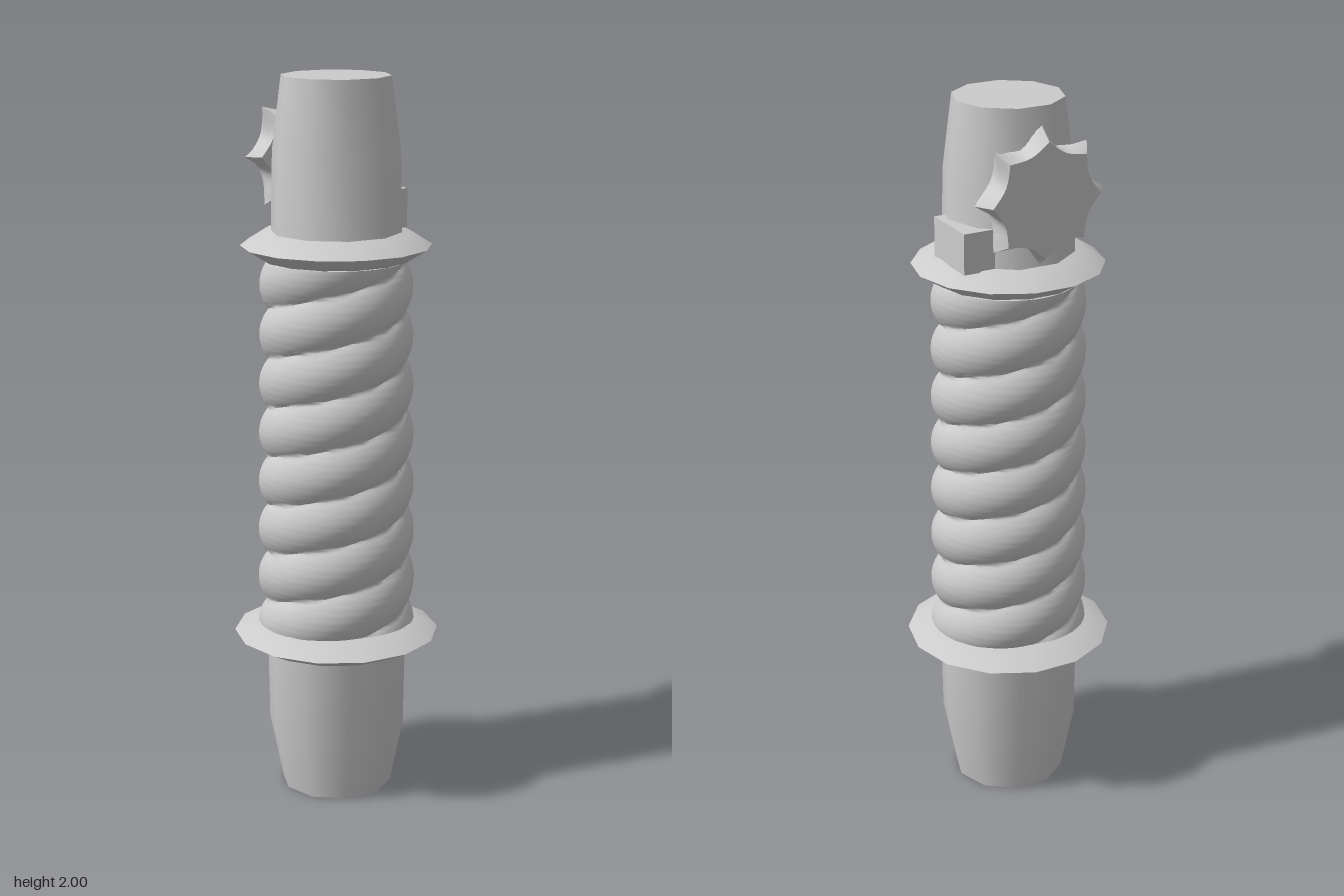
import * as THREE from 'three';
import { toCreasedNormals } from 'three/addons/utils/BufferGeometryUtils.js';

const metal = new THREE.MeshStandardMaterial({ color: 0xcccccc });
metal.name = 'lightGrey';

function part(name, geometry) {
  const mesh = new THREE.Mesh(geometry, metal);
  mesh.name = name;
  return mesh;
}

// Faceted turned part: profile of [radius, y] from bottom to top, a corner on the x axis
function turned(name, sides, profile) {
  const points = profile.map(([r, y]) => new THREE.Vector2(r, y));
  return part(name, toCreasedNormals(new THREE.LatheGeometry(points, sides, Math.PI / 2), 0.75));
}

// Grip wrapped with a two-start helical ridge
function ropeGrip() {
  const y0 = 0.49, y1 = 1.513, pitch = 0.138;
  const geo = new THREE.CylinderGeometry(0.2, 0.2, y1 - y0, 48, 150);
  geo.translate(0, (y0 + y1) / 2, 0);
  const p = geo.attributes.position;
  for (let i = 0; i < p.count; i++) {
    const x = p.getX(i), y = p.getY(i), z = p.getZ(i);
    if (Math.hypot(x, z) < 0.01) continue;
    const a = Math.atan2(x, z);
    const ridge = Math.abs(Math.cos(a - 0.5 * Math.PI - Math.PI * (y - 1.464) / pitch)) ** 0.7;
    const t = (y - y0) / (y1 - y0);
    const r = 0.192 - 0.012 * t + 0.027 * ridge;
    p.setXYZ(i, r * Math.sin(a), y, r * Math.cos(a));
  }
  return part('ropeGrip', toCreasedNormals(geo, 1.2));
}

// Eight-pointed scalloped knob: three star outlines, the middle one wider at the tips
function starKnob() {
  const tips = 8, steps = 8, n = tips * steps, valley = 0.13;
  const layers = [[-0.041, 0.155], [0, 0.186], [0.041, 0.155]];
  const pos = [], index = [];
  for (const [z, tip] of layers) {
    for (let i = 0; i < n; i++) {
      const s = Math.abs(((i % steps) / steps) * 2 - 1);
      const r = valley + (tip - valley) * s * s;
      const a = (i / n) * Math.PI * 2;
      pos.push(r * Math.sin(a), r * Math.cos(a), z);
    }
  }
  const back = pos.length / 3, front = back + 1;
  pos.push(0, 0, -0.041, 0, 0, 0.041);
  for (let i = 0; i < n; i++) {
    const j = (i + 1) % n;
    for (let l = 0; l < 2; l++) {
      const a = l * n + i, b = l * n + j;
      index.push(a, a + n, b, b, a + n, b + n);
    }
    index.push(back, i, j, front, 2 * n + j, 2 * n + i);
  }
  const geo = new THREE.BufferGeometry();
  geo.setAttribute('position', new THREE.Float32BufferAttribute(pos, 3));
  geo.setIndex(index);
  const mesh = part('starKnob', toCreasedNormals(geo, 0.5));
  mesh.position.set(0, 1.775, -0.171);
  mesh.rotation.x = -0.04;
  return mesh;
}

export function createModel() {
  const group = new THREE.Group();
  group.name = 'hilt';

  // Tapered ends
  group.add(turned('lowerBarrel', 10, [[0, 0], [0.155, 0], [0.191, 0.18], [0.195, 0.43], [0, 0.43]]));
  group.add(turned('upperBarrel', 10, [[0, 1.57], [0.178, 1.57], [0.173, 1.8], [0.148, 2], [0, 2]]));

  // Sharp-edged collars above and below the grip
  group.add(turned('lowerCollar', 14, [[0, 0.424], [0.222, 0.424], [0.285, 0.456], [0.215, 0.492], [0, 0.492]]));
  group.add(turned('upperCollar', 14, [[0, 1.512], [0.2, 1.512], [0.259, 1.549], [0.2, 1.586], [0, 1.586]]));

  group.add(ropeGrip());
  group.add(starKnob());

  // Small block on the model's left side
  const block = part('sideBlock', new THREE.BoxGeometry(0.107, 0.11, 0.17));
  block.position.set(0.143, 1.637, -0.045);
  group.add(block);

  return group;
}
